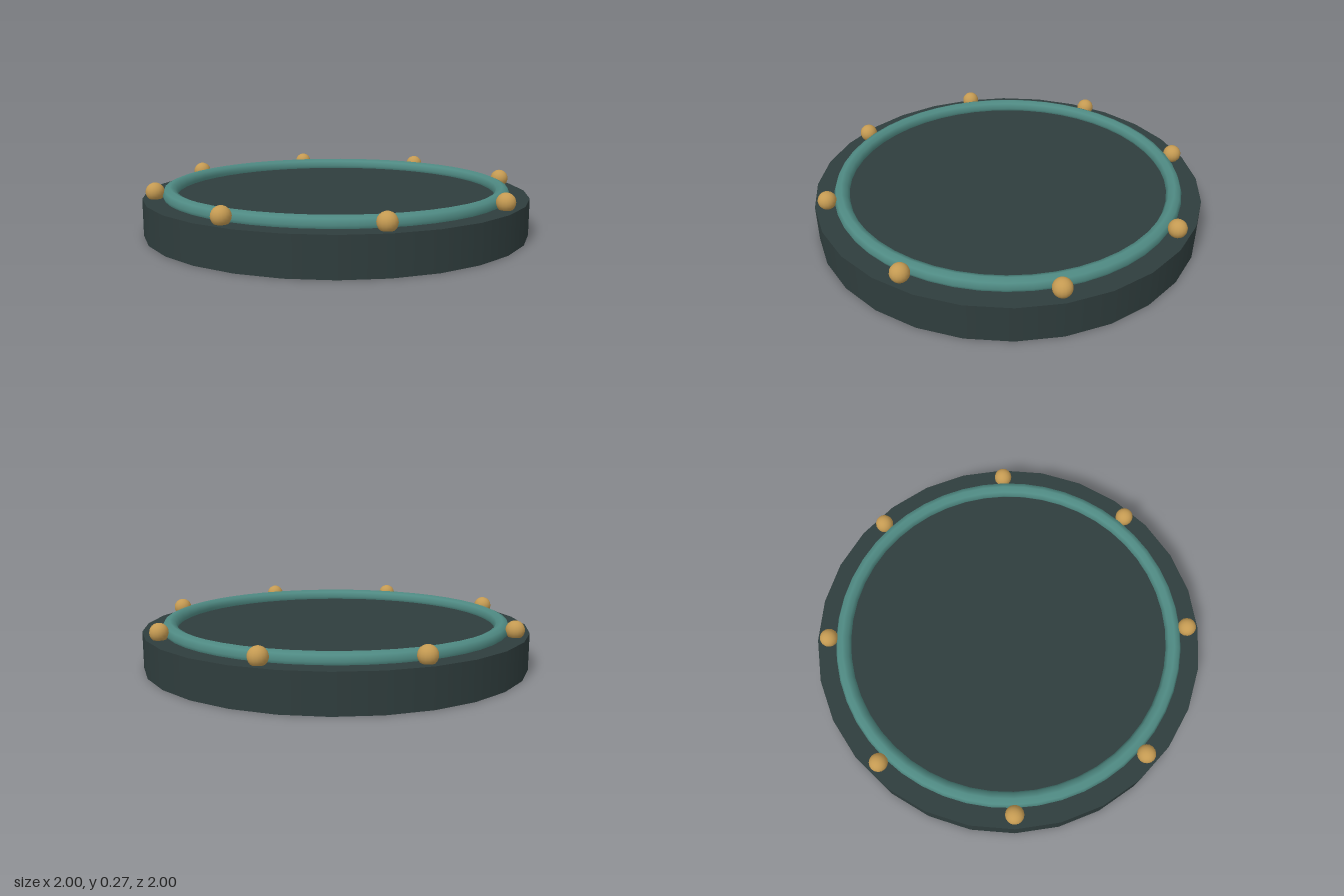
import * as THREE from 'three';

export function createModel() {
  const model = new THREE.Group();
  model.name = 'platform';

  const slate = new THREE.MeshStandardMaterial({ color: 0x2f3d3d });
  slate.name = 'dark slate';
  const teal = new THREE.MeshStandardMaterial({ color: 0x4f8a83 });
  teal.name = 'teal';
  const brass = new THREE.MeshStandardMaterial({ color: 0xc49a52 });
  brass.name = 'brass';

  const add = (name, geometry, material, x, y, z) => {
    const mesh = new THREE.Mesh(geometry, material);
    mesh.name = name;
    mesh.position.set(x, y, z);
    model.add(mesh);
    return mesh;
  };

  // Thick round base
  const height = 0.19;
  add('base', new THREE.CylinderGeometry(1, 1, height, 28), slate, 0, height / 2, 0);

  // Raised ring, half sunk into the top
  const ring = add('ring', new THREE.TorusGeometry(0.862, 0.039, 8, 48), teal, 0, 0.205, 0);
  ring.rotation.x = Math.PI / 2;

  // Eight studs around the rim
  const studGeometry = new THREE.SphereGeometry(0.047, 16, 12);
  for (let i = 0; i < 8; i++) {
    const a = (i * Math.PI) / 4;
    add('stud' + (i + 1), studGeometry, brass, Math.cos(a) * 0.935, 0.224, Math.sin(a) * 0.935);
  }

  return model;
}
